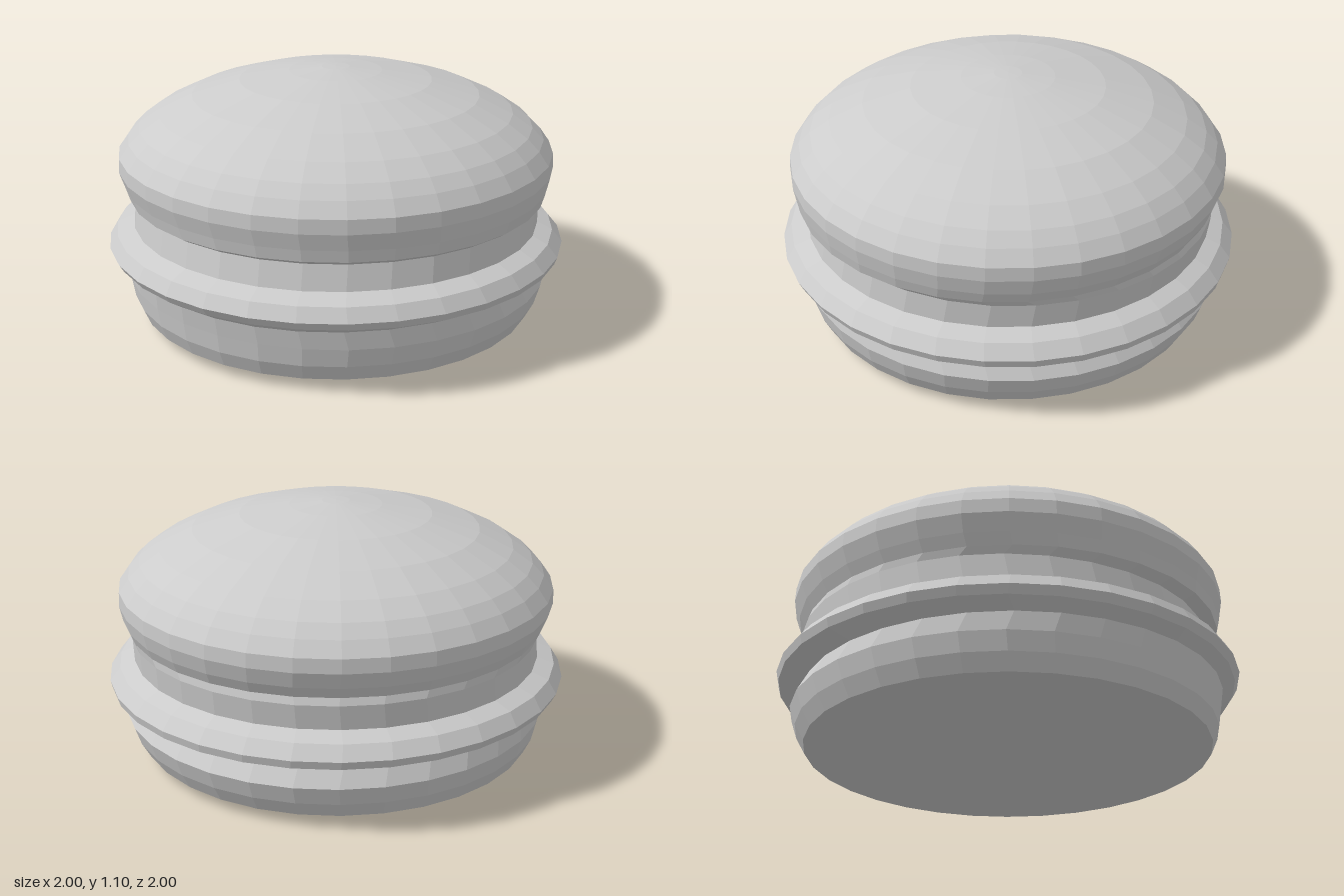
import * as THREE from 'three';

const material = new THREE.MeshStandardMaterial({ color: 0xcccccc, flatShading: true });

// Turned layer from rings [radius, y, dx, dz], bottom to top; each ring may sit slightly off centre
function layer(name, rings) {
  const geometry = new THREE.LatheGeometry(rings.map(([r, y]) => new THREE.Vector2(r, y)), 32);
  const pos = geometry.attributes.position;
  for (let i = 0; i < pos.count; i++) {
    const [, , dx = 0, dz = 0] = rings[i % rings.length];
    pos.setX(i, pos.getX(i) + dx);
    pos.setZ(i, pos.getZ(i) + dz);
  }
  const mesh = new THREE.Mesh(geometry, material);
  mesh.name = name;
  return mesh;
}

export function createModel() {
  const group = new THREE.Group();
  group.name = 'burger';

  // Rings shared by neighbouring layers
  const pattyBottom = [0.905, 0.28, -0.02, 0.005];
  const pattyTop = [0.89, 0.435, 0, 0];
  const bunRim = [0.885, 0.54, 0.018, -0.007];

  group.add(
    layer('bottomBun', [
      [0, 0], [0.35, 0.003], [0.87, 0.05],
      [0.905, 0.12, 0.005, 0], [0.925, 0.2, 0.013, 0], pattyBottom,
    ]),
    layer('patty', [
      pattyBottom, [0.985, 0.315, 0.007, 0], [1, 0.35],
      [0.96, 0.405, -0.007, 0], pattyTop,
    ]),
    layer('filling', [pattyTop, bunRim]),
    layer('topBun', [
      bunRim, [0.907, 0.57, -0.007, 0.015], [0.925, 0.62, 0, 0.008], [0.945, 0.69],
      [0.942, 0.75], [0.9, 0.81], [0.85, 0.86], [0.765, 0.918],
      [0.62, 0.987], [0.415, 1.048], [0.2, 1.085], [0.06, 1.1], [0, 1.102],
    ]),
  );
  return group;
}
